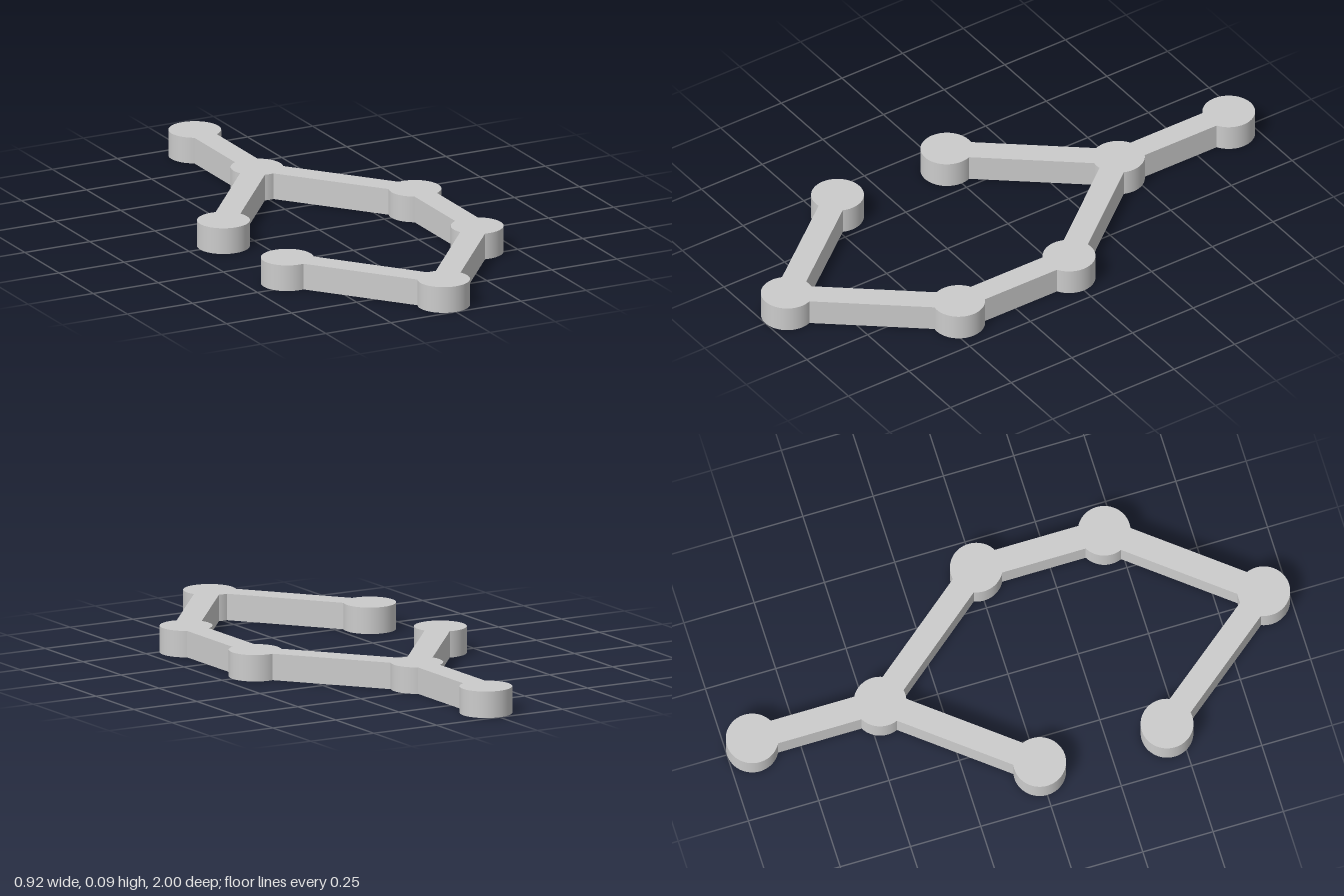
import * as THREE from 'three';

const HEIGHT = 0.092, RADIUS = 0.09, WIDTH = 0.086;

// Node centres as [x, z]
const NODES = {
  tail: [0, -0.91],
  backFork: [0, -0.455],
  backRight: [-0.368, 0],
  backLeft: [0.368, 0],
  frontLeft: [0.368, 0.455],
  frontTip: [0, 0.91],
  frontRight: [-0.362, 0.455],
};

const LINKS = [
  ['tail', 'backFork'],
  ['backFork', 'backRight'],
  ['backFork', 'backLeft'],
  ['backLeft', 'frontLeft'],
  ['frontLeft', 'frontTip'],
  ['frontTip', 'frontRight'],
];

export function createModel() {
  const group = new THREE.Group();
  group.name = 'linkedNodeChain';
  const material = new THREE.MeshStandardMaterial({ color: 0xcccccc });

  // Round discs at the joints
  const disc = new THREE.CylinderGeometry(RADIUS, RADIUS, HEIGHT, 64);
  for (const [name, [x, z]] of Object.entries(NODES)) {
    const mesh = new THREE.Mesh(disc, material);
    mesh.name = `${name}Disc`;
    mesh.position.set(x, HEIGHT / 2, z);
    group.add(mesh);
  }

  // Straight bars, ending just inside the rims of the discs they join
  const inset = Math.sqrt(RADIUS ** 2 - (WIDTH / 2) ** 2) - 0.002;
  for (const [from, to] of LINKS) {
    const [x1, z1] = NODES[from], [x2, z2] = NODES[to];
    const length = Math.hypot(x2 - x1, z2 - z1) - 2 * inset;
    const bar = new THREE.Mesh(new THREE.BoxGeometry(WIDTH, HEIGHT, length), material);
    bar.name = `${from}To${to[0].toUpperCase()}${to.slice(1)}Bar`;
    bar.position.set((x1 + x2) / 2, HEIGHT / 2, (z1 + z2) / 2);
    bar.rotation.y = Math.atan2(x2 - x1, z2 - z1);
    group.add(bar);
  }
  return group;
}
